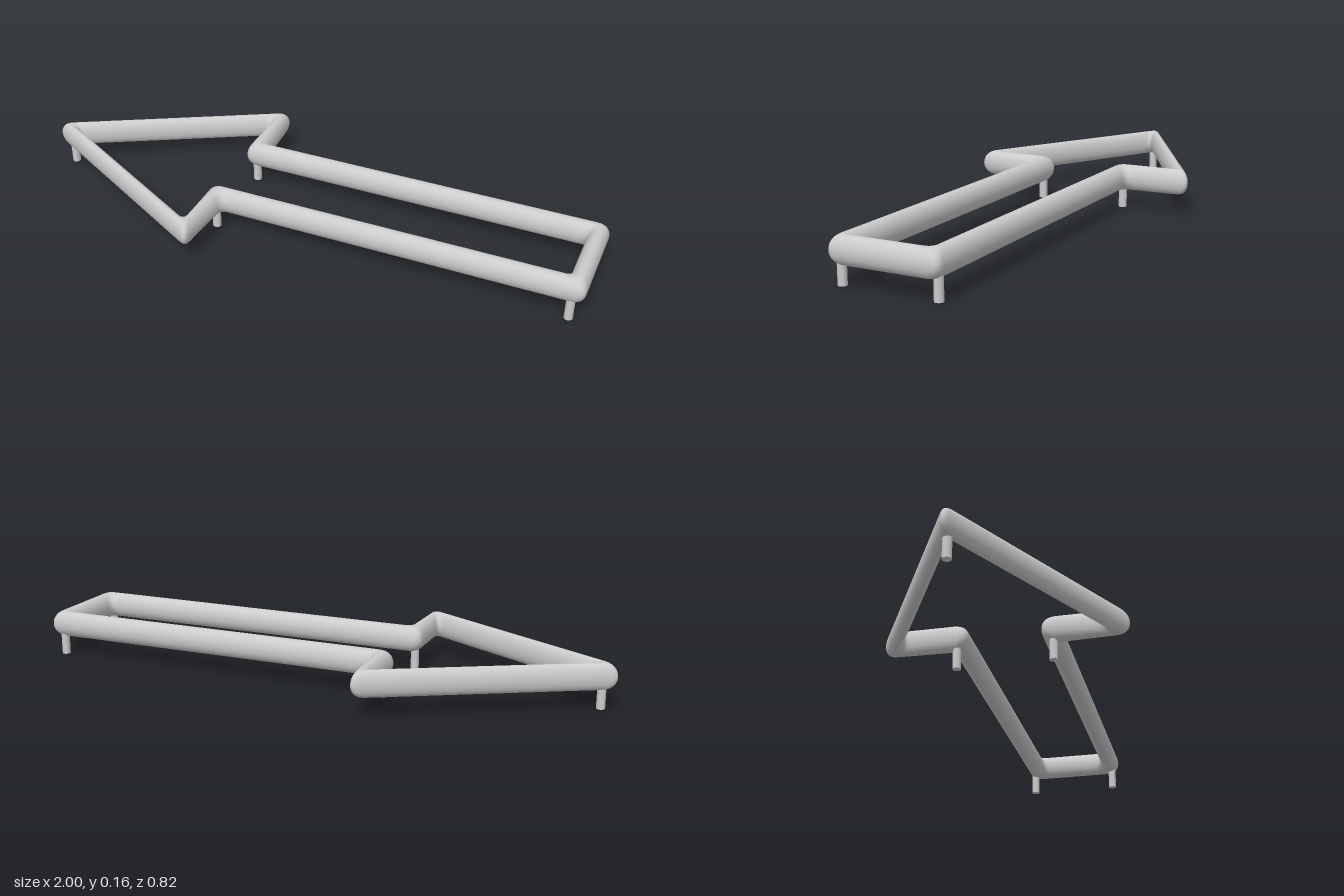
import * as THREE from 'three';

const R = 0.045;      // bar radius
const HEIGHT = 0.11;  // height of the bar's centre line
const SIDES = 32;
const BEND = 0.03;    // length of the corner rounding
const STEPS = 6;

// Closed bar: one round section per corner, set on the mitre line and slid round the bend
function frameGeometry(points) {
  const corners = points.map(([x, z]) => new THREE.Vector2(x, z));
  const n = corners.length;
  const positions = [], index = [];
  corners.forEach((p, i) => {
    const before = p.clone().sub(corners[(i + n - 1) % n]).normalize();
    const after = corners[(i + 1) % n].clone().sub(p).normalize();
    const dir = before.clone().add(after).normalize();
    const out = new THREE.Vector2(-dir.y, dir.x);
    const bend = new THREE.QuadraticBezierCurve(
      p.clone().addScaledVector(before, -BEND), p,
      p.clone().addScaledVector(after, BEND));
    for (let s = 0; s <= STEPS; s++) {
      const c = bend.getPoint(s / STEPS);
      for (let j = 0; j < SIDES; j++) {
        const a = (j / SIDES) * Math.PI * 2;
        const w = R * Math.cos(a);
        positions.push(c.x + out.x * w, HEIGHT + R * Math.sin(a), c.y + out.y * w);
      }
    }
  });
  const rings = n * (STEPS + 1);
  for (let i = 0; i < rings; i++) {
    const k = (i + 1) % rings;
    for (let j = 0; j < SIDES; j++) {
      const a = i * SIDES + j, b = i * SIDES + (j + 1) % SIDES;
      const c = k * SIDES + j, d = k * SIDES + (j + 1) % SIDES;
      index.push(a, c, b, b, c, d);
    }
  }
  const g = new THREE.BufferGeometry();
  g.setAttribute('position', new THREE.Float32BufferAttribute(positions, 3));
  g.setIndex(index);
  g.computeVertexNormals();
  return g;
}

export function createModel() {
  const model = new THREE.Group();
  model.name = 'arrowHandle';
  const material = new THREE.MeshStandardMaterial({ color: 0xcccccc });

  // Arrow outline: tip, barb, neck and end, then mirrored back
  const half = [[-0.278, 0.38], [-0.273, 0.154], [0.968, 0.154]];
  const mirrored = half.map(([x, z]) => [x, -z]).reverse();
  const frame = new THREE.Mesh(frameGeometry([[-0.968, 0], ...half, ...mirrored]), material);
  frame.name = 'arrowFrame';
  model.add(frame);

  // Short pegs under the tip, the neck corners and the end corners
  const pegGeometry = new THREE.CylinderGeometry(0.0145, 0.0145, 0.1, 12);
  const pegs = [['tipPeg', -0.952, 0]];
  for (const [side, s] of [['Front', 1], ['Back', -1]]) {
    pegs.push(['neckPeg' + side, -0.275, 0.161 * s], ['endPeg' + side, 0.956, 0.161 * s]);
  }
  for (const [name, x, z] of pegs) {
    const peg = new THREE.Mesh(pegGeometry, material);
    peg.name = name;
    peg.position.set(x, 0.05, z);
    model.add(peg);
  }
  return model;
}
